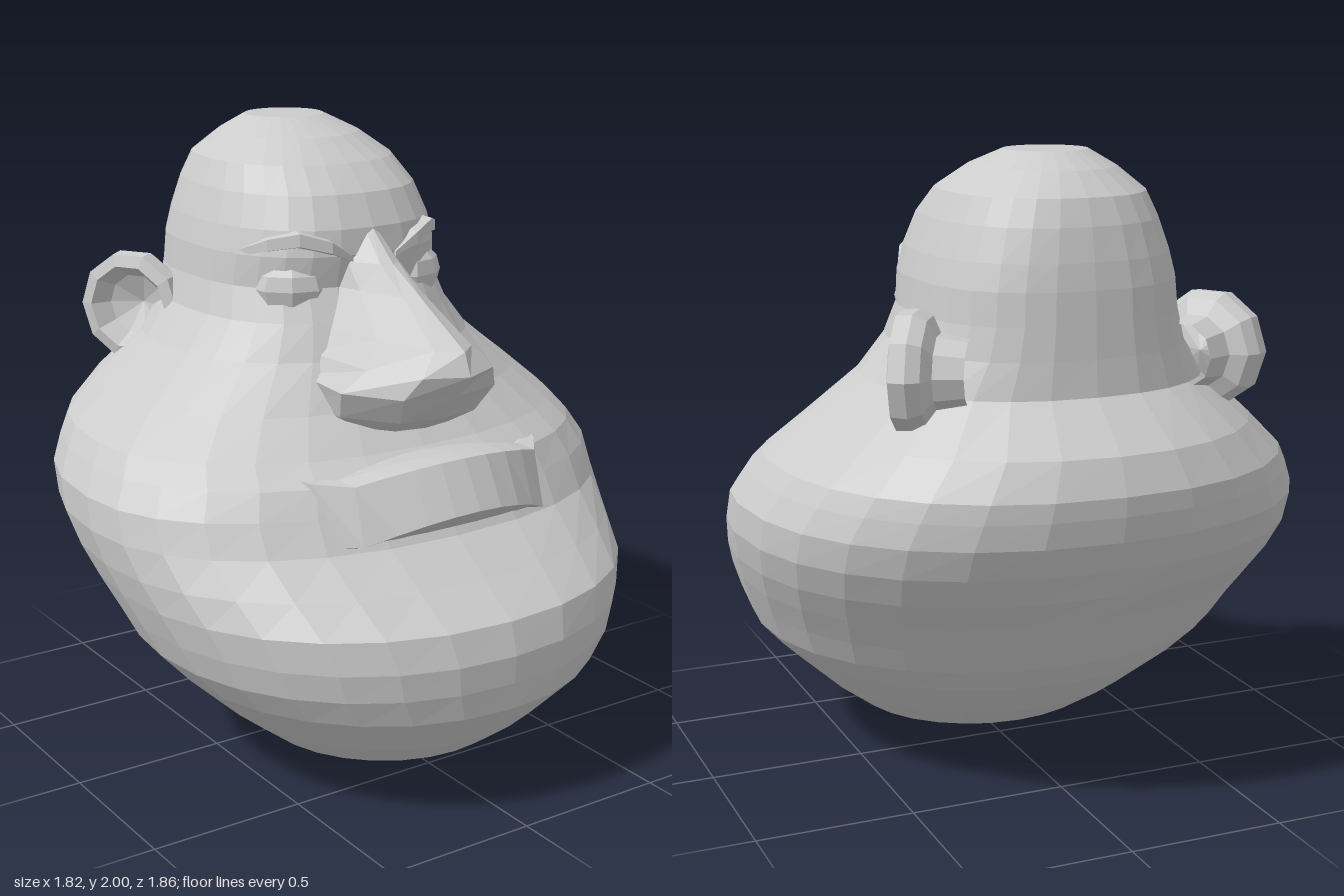
import * as THREE from 'three';

const skin = new THREE.MeshStandardMaterial({ color: 0xcccccc, flatShading: true, side: THREE.DoubleSide });

// Skin a list of closed rings (each a list of [x, y, z]) and cap both ends
function loft(name, rings) {
  const n = rings[0].length, pos = rings.flat(2), idx = [];
  for (let i = 0; i < rings.length - 1; i++) {
    for (let j = 0; j < n; j++) {
      const a = i * n + j, b = i * n + (j + 1) % n;
      idx.push(a, b, b + n, a, b + n, a + n);
    }
  }
  [0, rings.length - 1].forEach((r, end) => {
    const c = pos.length / 3;
    for (let k = 0; k < 3; k++) pos.push(rings[r].reduce((s, p) => s + p[k], 0) / n);
    for (let j = 0; j < n; j++) {
      const a = r * n + j, b = r * n + (j + 1) % n;
      if (end) idx.push(a, b, c); else idx.push(b, a, c);
    }
  });
  const g = new THREE.BufferGeometry();
  g.setAttribute('position', new THREE.Float32BufferAttribute(pos, 3));
  g.setIndex(idx);
  g.computeVertexNormals();
  const mesh = new THREE.Mesh(g, skin);
  mesh.name = name;
  return mesh;
}

// Head and jaw rows: height, half width, front z, back z, z of widest point, roundness
const HEAD = [
  [0, 0.1, 0.32, 0.12, 0.22, 2],
  [0.03, 0.22, 0.46, 0.01, 0.22, 2],
  [0.1, 0.41, 0.64, -0.16, 0.23, 2],
  [0.2, 0.54, 0.77, -0.32, 0.22, 2],
  [0.35, 0.7, 0.91, -0.51, 0.2, 2.05],
  [0.44, 0.78, 0.925, -0.59, 0.16, 2.1],
  [0.53, 0.82, 0.93, -0.66, 0.13, 2.1],
  [0.63, 0.86, 0.9, -0.73, 0.07, 2.15],
  [0.72, 0.89, 0.77, -0.8, 0.02, 2.2],
  [0.82, 0.91, 0.63, -0.86, -0.03, 2.25],
  [0.92, 0.905, 0.57, -0.91, -0.06, 2.25],
  [1, 0.86, 0.53, -0.925, -0.1, 2.25],
  [1.06, 0.82, 0.45, -0.93, -0.13, 2.25],
  [1.17, 0.7, 0.35, -0.89, -0.17, 2.2],
  [1.31, 0.53, 0.26, -0.73, -0.23, 2.3],
  [1.42, 0.44, 0.21, -0.72, -0.26, 2.5],
  [1.52, 0.41, 0.16, -0.715, -0.28, 2.5],
  [1.62, 0.4, 0.18, -0.71, -0.28, 2.5],
  [1.7, 0.38, 0.17, -0.7, -0.28, 2.45],
  [1.8, 0.345, 0.12, -0.68, -0.28, 2.4],
  [1.88, 0.305, 0.03, -0.65, -0.3, 2.3],
  [1.95, 0.22, -0.08, -0.57, -0.32, 2.1],
  [2, 0.13, -0.22, -0.48, -0.35, 2],
];

function headRing([y, w, zf, zb, zc, e], n = 28) {
  return Array.from({ length: n }, (_, j) => {
    const a = (j / n) * Math.PI * 2, s = Math.sin(a), c = Math.cos(a);
    const x = Math.sign(s) * Math.abs(s) ** (2 / e) * w;
    const d = Math.abs(c) ** (2 / e);
    return [x, y, c > 0 ? zc + d * (zf - zc) : zc - d * (zc - zb)];
  });
}

// Nose rows: height, then [x, z] from the centre line round to the face
const NOSE = [
  [1.12, [0, 0.46], [0.1, 0.44], [0.18, 0.33], [0.2, 0.15]],
  [1.17, [0, 0.54], [0.14, 0.52], [0.25, 0.36], [0.23, 0.15]],
  [1.26, [0, 0.62], [0.17, 0.58], [0.28, 0.41], [0.26, 0.15]],
  [1.33, [0, 0.68], [0.13, 0.62], [0.21, 0.45], [0.23, 0.15]],
  [1.4, [0, 0.65], [0.07, 0.59], [0.13, 0.38], [0.2, 0.1]],
  [1.52, [0, 0.43], [0.04, 0.39], [0.09, 0.23], [0.16, 0]],
  [1.6, [0, 0.28], [0.035, 0.26], [0.09, 0.16], [0.16, 0]],
  [1.7, [0, 0.165], [0.02, 0.15], [0.05, 0.1], [0.08, 0]],
];

function noseRing([y, ...half]) {
  const left = half.map(([x, z]) => [x, y, z]);
  const right = half.slice(1).reverse().map(([x, z]) => [-x, y, z]);
  return [...right, ...left];
}

// Pouting lip: a wedge swept across the face, its corners sinking into the cheeks
function lipRing(x) {
  const q = x * x, corner = Math.max(0, Math.abs(x) - 0.38);
  const top = 1.085 - 0.47 * q + corner * 0.6, sink = corner * 1.3;
  return [
    [x, top - 0.08, 0.2],
    [x, top - 0.01, 0.58 - 0.75 * q - sink],
    [x, top - 0.01, 0.66 - 0.75 * q - sink],
    [x, 0.93 - 0.72 * q + corner * 0.6, 0.74 - q - sink],
    [x, 0.835 - 0.15 * q + corner * 0.4, 0.6 - 0.5 * q - sink],
    [x, 0.85, 0.2],
  ];
}

// Brow stations: x, y, z, thickness
const BROW = [
  [0.08, 1.605, 0.18, 0.015],
  [0.16, 1.645, 0.185, 0.035],
  [0.25, 1.67, 0.14, 0.04],
  [0.32, 1.65, 0.06, 0.035],
  [0.375, 1.61, -0.07, 0.015],
];

function makeBrow(s) {
  const rings = BROW.map(([x, y, z, t]) => [
    [s * x * 0.9, y + t, z - 0.1],
    [s * x, y + t * 0.7, z],
    [s * x, y - t * 0.3, z],
    [s * x * 0.9, y - t, z - 0.1],
  ]);
  return loft('brow', s > 0 ? rings : rings.reverse());
}

// Thick-rimmed, cupped ear on a short stem, facing outward and forward
function makeEar(s) {
  const profile = [[0.1, -0.17], [0.115, -0.08], [0.165, -0.055], [0.185, -0.015], [0.18, 0.035],
    [0.14, 0.045], [0.1, -0.015], [0, -0.06]].map(p => new THREE.Vector2(...p));
  const ear = new THREE.Mesh(new THREE.LatheGeometry(profile, 10), skin);
  ear.name = 'ear';
  ear.position.set(s * 0.49, 1.385, -0.505);
  ear.rotation.set(0, s > 0 ? -0.56 : Math.PI + 0.56, -Math.PI / 2);
  return ear;
}

// Closed eye, barely swelling from the face
function makeEyelid(s) {
  const lid = new THREE.Mesh(new THREE.SphereGeometry(1, 8, 6), skin);
  lid.name = 'eyelid';
  lid.scale.set(0.12, 0.09, 0.08);
  lid.position.set(s * 0.235, 1.515, 0.06);
  lid.rotation.y = s * 0.5;
  return lid;
}

export function createModel() {
  const group = new THREE.Group();
  group.name = 'head';
  const lipX = Array.from({ length: 13 }, (_, i) => (i - 6) * 0.085);
  group.add(
    loft('skullAndJaw', HEAD.map(r => headRing(r))),
    loft('nose', NOSE.map(noseRing)),
    loft('lip', lipX.map(lipRing)),
  );
  for (const s of [-1, 1]) group.add(makeBrow(s), makeEar(s), makeEyelid(s));
  return group;
}
